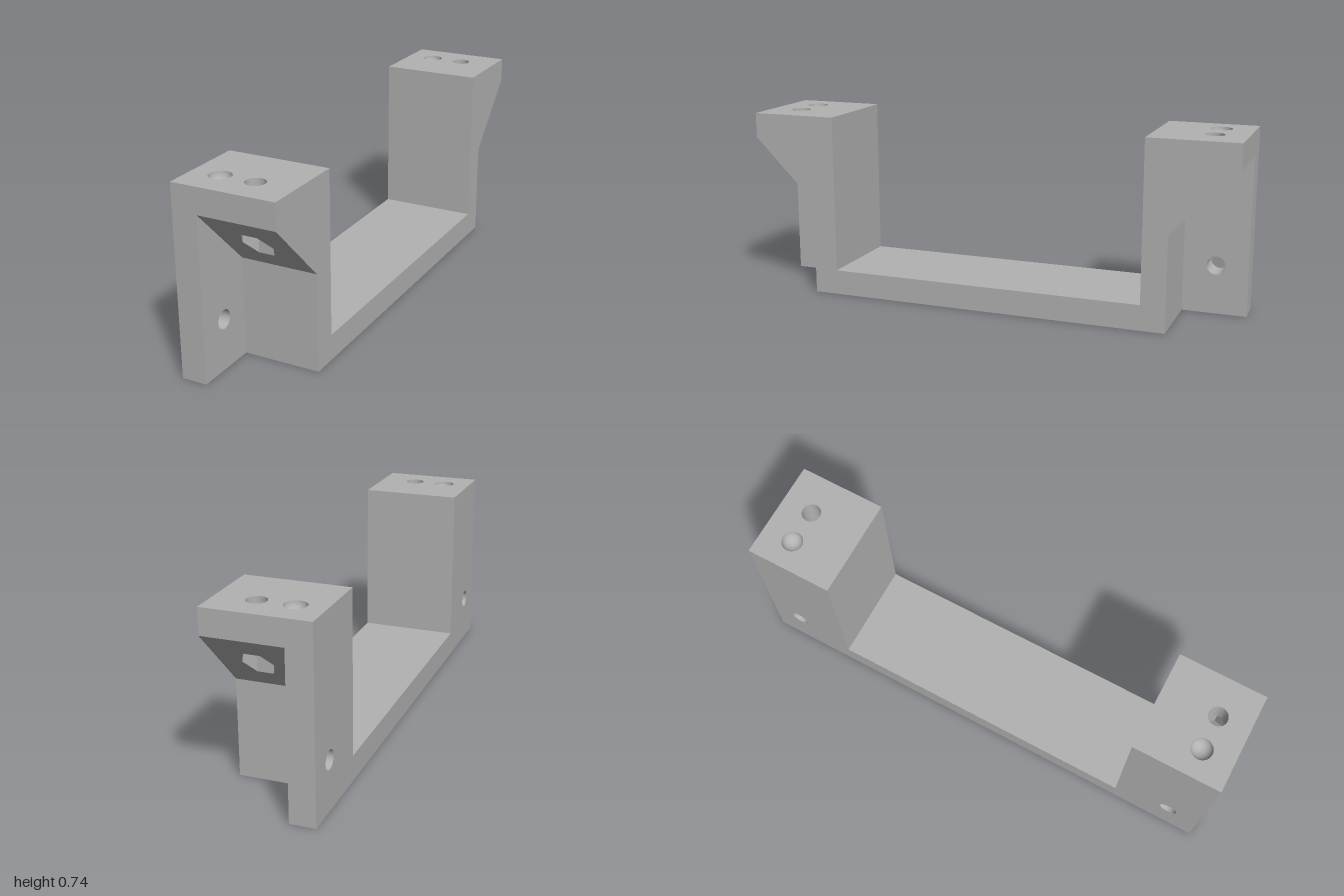
import * as THREE from 'three';
import { mergeGeometries } from 'three/addons/utils/BufferGeometryUtils.js';

const W = 0.203, PLATE = -0.103;          // half width, inner face of the side plate
const TOP = 0.743, FLOOR = 0.102;         // post height, bridge thickness
const INNER = 0.645, BACK = 0.743;        // post inner face, pocket back wall
const LOW = 0.385, HIGH = 0.642;          // ends of the 45 degree slope
const HZ = 0.872;                         // z of every hole

// Planes: each maps 2D outline coordinates to 3D
const atX = x => (z, y) => [x, y, z];     // natural normal -x
const atY = y => (x, z) => [x, y, z];     // natural normal -y
const atZ = z => (x, y) => [x, y, z];     // natural normal +z
const slope = (x, z) => [x, z + LOW - BACK, z];

const rect = (a0, b0, a1, b1) => [[a0, b0], [a1, b0], [a1, b1], [a0, b1]];
const ring = (a, b, r, n) => Array.from({ length: n }, (_, i) => {
  const t = (i / n) * Math.PI * 2;
  return [a + r * Math.cos(t), b + r * Math.sin(t)];
});
const toVectors = pts => pts.map(p => new THREE.Vector2(...p));

// Flat face with optional holes
function panel(pts, plane, flip = false, holes = []) {
  const shape = new THREE.Shape(toVectors(pts));
  holes.forEach(h => shape.holes.push(new THREE.Path(toVectors(h))));
  const g = new THREE.ShapeGeometry(shape);
  const p = g.attributes.position;
  for (let i = 0; i < p.count; i++) p.setXYZ(i, ...plane(p.getX(i), p.getY(i)));
  if (flip) g.setIndex(Array.from(g.index.array).reverse());
  const flat = g.toNonIndexed();
  flat.deleteAttribute('uv');
  flat.computeVertexNormals();
  return flat;
}

// Inward-facing wall of a hole between two planes
function holeWall(pts, from, to, smooth = true) {
  const n = pts.length, index = [];
  const pos = [...pts.map(p => from(...p)), ...pts.map(p => to(...p))].flat();
  for (let i = 0; i < n; i++) {
    const j = (i + 1) % n;
    index.push(i, j, j + n, i, j + n, i + n);
  }
  const g = new THREE.BufferGeometry();
  g.setAttribute('position', new THREE.Float32BufferAttribute(pos, 3));
  g.setIndex(index);
  if (smooth) g.computeVertexNormals();
  const out = g.toNonIndexed();
  if (!smooth) out.computeVertexNormals();
  return out;
}

// Round dimple, seen from inside
function bowl(x, y, z, r) {
  const g = new THREE.SphereGeometry(r, 32, 12, 0, Math.PI * 2, 0, Math.PI / 2);
  g.scale(1, -1, 1);
  g.computeVertexNormals();
  g.translate(x, y, z);
  g.deleteAttribute('uv');
  return g.toNonIndexed();
}

function mirrorZ(geometry) {
  const g = geometry.clone().scale(1, 1, -1);
  const n = g.attributes.position.count;
  g.setIndex(Array.from({ length: n }, (_, i) => n - 1 - i));
  return g;
}

export function createModel() {
  const grey = new THREE.MeshStandardMaterial({ color: 0xb2b2b2 });
  grey.name = 'grey';
  const model = new THREE.Group();
  model.name = 'bracket';
  const add = (name, geometry) => {
    const mesh = new THREE.Mesh(geometry, grey);
    mesh.name = name;
    model.add(mesh);
  };
  const mirrored = half => [...half, ...half.map(([z, y]) => [-z, y]).reverse()];

  const dimple = ring(-0.09, HZ, 0.042, 32);
  const screw = ring(0.05, HZ, 0.038, 32);
  const nut = ring(0.05, HZ, 0.0615, 6);
  const cross = ring(HZ, 0.197, 0.037, 32);
  const crossBack = ring(-HZ, 0.197, 0.037, 32);

  // Long side faces, bridge top and underside
  const postTop = [[1, TOP], [INNER, TOP], [INNER, FLOOR]];
  add('plateSide', panel(mirrored([[1, 0], ...postTop]), atX(-W), false, [cross, crossBack]));
  add('pocketSide', panel(mirrored([[BACK, 0], [BACK, LOW], [1, HIGH], ...postTop]), atX(W), true));
  add('bridgeTop', panel(rect(-W, -INNER, W, INNER), atY(FLOOR), true));
  add('underside', panel([[-W, -1], [PLATE, -1], [PLATE, -BACK], [W, -BACK],
    [W, BACK], [PLATE, BACK], [PLATE, 1], [-W, 1]], atY(0)));

  // Parts of one end post, mirrored for the other end
  const post = {
    PostTop: mergeGeometries([
      panel(rect(-W, INNER, W, 1), atY(TOP), true, [dimple, screw]),
      bowl(-0.09, TOP, HZ, 0.042)]),
    PostInnerFace: panel(rect(-W, FLOOR, W, TOP), atZ(INNER), true),
    PostEndFace: panel([[-W, 0], [PLATE, 0], [PLATE, HIGH], [W, HIGH], [W, TOP], [-W, TOP]], atZ(1)),
    Pocket: mergeGeometries([
      panel([[BACK, 0], [1, 0], [1, HIGH], [BACK, LOW]], atX(PLATE), true, [cross]),
      panel(rect(PLATE, 0, W, LOW), atZ(BACK)),
      panel(rect(PLATE, BACK, W, 1), slope, false, [nut])]),
    NutRecess: mergeGeometries([
      holeWall(nut, slope, atY(HIGH), false),
      panel(nut, atY(HIGH), false, [screw])]),
    ScrewHole: holeWall(screw, atY(HIGH), atY(TOP)),
    CrossHole: holeWall(cross, atX(-W), atX(PLATE)),
  };
  for (const [name, geometry] of Object.entries(post)) {
    add('front' + name, geometry);
    add('back' + name, mirrorZ(geometry));
  }
  return model;
}
